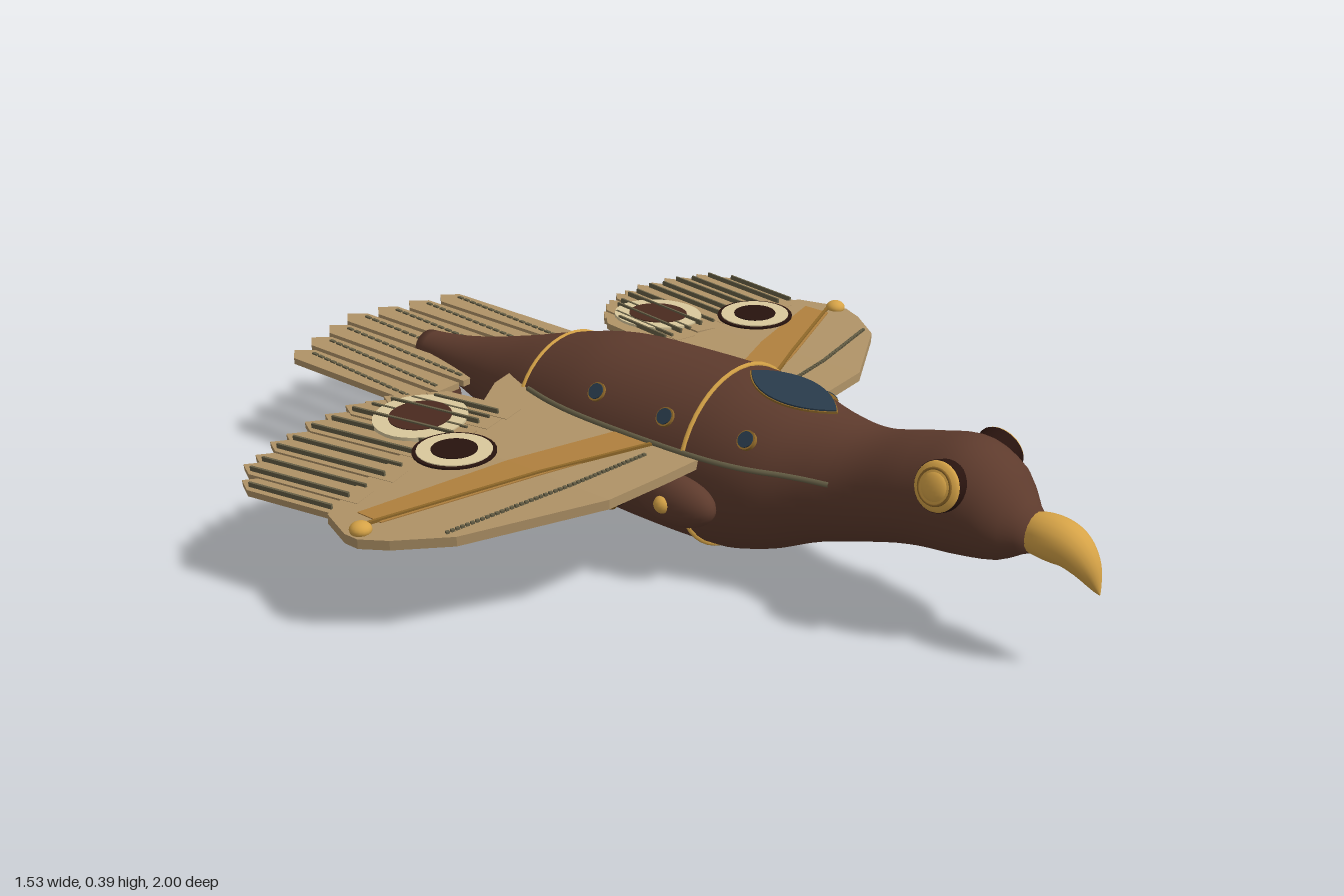
import * as THREE from 'three';
import { mergeGeometries, mergeVertices } from 'three/addons/utils/BufferGeometryUtils.js';

const material = (name, color) => new THREE.MeshStandardMaterial({ name, color });

// Body stations: z, top, bottom, half width
const STATIONS = [
  [0.865, 0.28, 0.21, 0.035], [0.8, 0.36, 0.176, 0.086], [0.72, 0.394, 0.162, 0.108], [0.62, 0.375, 0.15, 0.11],
  [0.5, 0.346, 0.116, 0.107], [0.4, 0.35, 0.083, 0.13], [0.3, 0.367, 0.038, 0.168], [0.2, 0.38, 0.01, 0.185],
  [0, 0.376, 0.007, 0.19], [-0.16, 0.366, 0.016, 0.182], [-0.3, 0.332, 0.046, 0.155], [-0.45, 0.286, 0.094, 0.105],
  [-0.6, 0.248, 0.137, 0.062], [-0.73, 0.231, 0.166, 0.038],
];

// Smoothly interpolated ellipse of the body at z
function section(z) {
  let i = 0;
  while (i < STATIONS.length - 2 && z < STATIONS[i + 1][0]) i++;
  const at = k => STATIONS[THREE.MathUtils.clamp(k, 0, STATIONS.length - 1)];
  const t = (STATIONS[i][0] - z) / (STATIONS[i][0] - STATIONS[i + 1][0]);
  const [top, bottom, rx] = [1, 2, 3].map(c => {
    const [a, b, d, e] = [at(i - 1)[c], at(i)[c], at(i + 1)[c], at(i + 2)[c]];
    return b + 0.5 * t * (d - a + t * (2 * a - 5 * b + 4 * d - e + t * (3 * (b - d) + e - a)));
  });
  return { cy: (top + bottom) / 2, ry: (top - bottom) / 2, rx };
}

// Point on the left flank at a height, and its outward roll angle
function flank(z, y, lift = 0) {
  const { cy, ry, rx } = section(z);
  const a = Math.asin((y - cy) / ry);
  return { p: new THREE.Vector3((rx + lift) * Math.cos(a), cy + (ry + lift) * Math.sin(a), z), a };
}

function wingY(x) {
  return x < 0.4 ? 0.246 - (x - 0.2) * 0.05 : 0.236 - (x - 0.4) * 0.108;
}

// Slab following the wing, from stations [x, front z, back z]
function slab(stations, thick, lift = 0) {
  const pos = [], idx = [];
  stations.forEach(([x, f, b]) => {
    const y = wingY(x) + lift, h = thick / 2;
    pos.push(x, y + h, f, x, y + h, b, x, y - h, b, x, y - h, f);
  });
  const n = stations.length - 1;
  for (let s = 0; s < n; s++) for (let i = 0; i < 4; i++) {
    const a = s * 4 + i, b = s * 4 + (i + 1) % 4;
    idx.push(a, a + 4, b + 4, a, b + 4, b);
  }
  idx.push(0, 1, 2, 0, 2, 3, n * 4, n * 4 + 2, n * 4 + 1, n * 4, n * 4 + 3, n * 4 + 2);
  let g = new THREE.BufferGeometry();
  g.setAttribute('position', new THREE.Float32BufferAttribute(pos, 3));
  g.setIndex(idx);
  g = g.toNonIndexed();
  g.computeVertexNormals();
  return g;
}

function mirrored(geo) {
  const g = geo.clone().scale(-1, 1, 1);
  const src = g.index ? Array.from(g.index.array) : Array.from({ length: g.attributes.position.count }, (_, i) => i);
  for (let i = 0; i < src.length; i += 3) [src[i + 1], src[i + 2]] = [src[i + 2], src[i + 1]];
  g.setIndex(src);
  return g;
}

// Flat pointed feather with its tip at the origin, running toward +z
function feather(width, length, thick) {
  const w = width / 2, s = new THREE.Shape();
  s.moveTo(-w, -length); s.lineTo(w, -length); s.lineTo(w, -0.035); s.lineTo(0, 0); s.lineTo(-w, -0.035);
  return new THREE.ExtrudeGeometry(s, { depth: thick, bevelEnabled: false }).translate(0, 0, -thick / 2).rotateX(-Math.PI / 2);
}

// Discs along each axis
const discX = (r, x0, x1) => new THREE.CylinderGeometry(r, r, x1 - x0, 28).rotateZ(-Math.PI / 2).translate((x0 + x1) / 2, 0, 0);
const discY = (r, y0, y1) => new THREE.CylinderGeometry(r, r, y1 - y0, 28).translate(0, (y0 + y1) / 2, 0);
const discZ = (r, z0, z1) => new THREE.CylinderGeometry(r, r, z1 - z0, 24).rotateX(Math.PI / 2).translate(0, 0, (z0 + z1) / 2);
const ringX = (r, t) => new THREE.TorusGeometry(r, t, 8, 28).rotateY(Math.PI / 2);

// Row of stitches between two points
function stitches(from, to, count) {
  const a = new THREE.Vector3(...from), b = new THREE.Vector3(...to), d = b.clone().sub(a);
  const yaw = Math.atan2(d.x, d.z), len = d.length() / count * 0.7;
  return mergeGeometries(Array.from({ length: count }, (_, i) => {
    const p = a.clone().lerp(b, (i + 0.5) / count);
    return new THREE.BoxGeometry(0.007, 0.007, len).rotateY(yaw).translate(p.x, p.y, p.z);
  }));
}

export function createModel() {
  const model = new THREE.Group();
  model.name = 'mechanicalBird';
  const brown = material('brown hull', 0x5e3b2d), tan = material('tan feather', 0xb09367);
  const brass = material('brass', 0xd6a347), blue = material('blue glass', 0x283a4a);
  const cream = material('cream', 0xd9c89c), dark = material('dark maroon', 0x28130e);
  const ochre = material('ochre stripe', 0xb0803e), olive = material('olive stitching', 0x655e45);
  const bronze = material('bronze trim', 0x8f6829), maroon = material('worn maroon', 0x4a2a1f);

  const add = (name, geo, mat) => {
    const mesh = new THREE.Mesh(geo, mat);
    mesh.name = name;
    model.add(mesh);
  };
  const pair = (name, geo, mat) => {
    add(name + 'Left', geo, mat);
    add(name + 'Right', mirrored(geo), mat);
  };

  // Hull
  let hull = new THREE.CylinderGeometry(1, 1, 1, 40, 70).rotateX(Math.PI / 2);
  const v = hull.attributes.position;
  for (let i = 0; i < v.count; i++) {
    const z = -0.73 + (v.getZ(i) + 0.5) * 1.595, { cy, ry, rx } = section(z);
    v.setXYZ(i, v.getX(i) * rx, cy + v.getY(i) * ry, z);
  }
  hull.deleteAttribute('uv'); hull.deleteAttribute('normal');
  hull = mergeVertices(hull);
  hull.computeVertexNormals();
  add('hull', hull, brown);

  // Hull bands and side seams
  for (const z of [0.165, -0.3]) {
    const { cy, ry, rx } = section(z);
    add('hullBand', new THREE.TorusGeometry(1, 0.036, 6, 48).scale(rx, ry, 0.13).translate(0, cy, z), brass);
  }
  const seam = Array.from({ length: 16 }, (_, i) => flank(0.47 - i * 0.05, 0.26, 0.002).p);
  pair('sideSeam', new THREE.TubeGeometry(new THREE.CatmullRomCurve3(seam), 48, 0.006, 6), olive);

  // Hooked beak, fullest a third of the way along
  const beakPath = new THREE.CatmullRomCurve3([[0.245, 0.84], [0.248, 0.885], [0.242, 0.93], [0.217, 0.964], [0.166, 0.999]]
    .map(([y, z]) => new THREE.Vector3(0, y, z)));
  const beak = new THREE.TubeGeometry(beakPath, 24, 1, 18);
  const bp = beak.attributes.position;
  for (let i = 0; i < bp.count; i++) {
    const t = Math.floor(i / 19) / 24, c = beakPath.getPointAt(t);
    const r = t < 0.3 ? 0.036 + 0.008 * Math.sin(t / 0.3 * Math.PI / 2) : 0.043 * Math.pow(Math.cos((t - 0.3) / 0.7 * Math.PI / 2), 0.9) + 0.001;
    bp.setXYZ(i, bp.getX(i) * r, c.y + (bp.getY(i) - c.y) * r, c.z + (bp.getZ(i) - c.z) * r);
  }
  beak.computeVertexNormals();
  add('beak', beak, brass);

  // Goggle eyes: dark mount behind a brass face
  const eye = flank(0.71, 0.33), placeEye = g => g.rotateZ(eye.a * 0.6).translate(eye.p.x, eye.p.y, eye.p.z);
  pair('eyeMount', placeEye(discX(0.049, -0.02, 0.01)), dark);
  pair('eyeFace', placeEye(new THREE.SphereGeometry(0.048, 28, 16).scale(0.3, 1, 1).translate(0.01, 0, 0)), brass);
  pair('eyeRing', placeEye(ringX(0.034, 0.003).translate(0.019, 0, 0)), bronze);
  pair('eyeLens', placeEye(new THREE.SphereGeometry(0.03, 20, 12).scale(0.4, 1, 1).translate(0.017, 0, 0)), brass);

  // Canopy on the back
  const leaf = (k, h) => {
    const s = new THREE.Shape();
    s.moveTo(0, -0.105 * k);
    s.bezierCurveTo(0.08 * k, -0.04, 0.075 * k, 0.05, 0, 0.105 * k);
    s.bezierCurveTo(-0.075 * k, 0.05, -0.08 * k, -0.04, 0, -0.105 * k);
    return new THREE.ExtrudeGeometry(s, { depth: h, bevelEnabled: false, curveSegments: 16 })
      .rotateX(-Math.PI / 2).rotateX(0.13).translate(0, 0.367, 0.3);
  };
  add('canopyFrame', leaf(1.04, 0.004), bronze);
  add('canopyGlass', leaf(1, 0.007), blue);

  // Portholes
  for (const z of [0.29, 0.1, -0.085]) {
    const { p, a } = flank(z, 0.308), place = g => g.rotateZ(a).translate(p.x, p.y, p.z);
    pair('portholeRim', place(discX(0.02, -0.01, 0.005)), bronze);
    pair('portholeGlass', place(discX(0.0165, 0, 0.008)), blue);
  }

  // Flank pods with sideways lamps
  for (const [z, len, lampZ] of [[0.165, 0.098, 0.065], [-0.065, 0.06, -0.125]]) {
    pair('pod', new THREE.SphereGeometry(1, 24, 16).scale(0.045, 0.053, len).translate(0.197, 0.168, z), brown);
    pair('podStud', new THREE.SphereGeometry(0.019, 14, 10).translate(0.234, 0.171, z), brass);
    const place = g => g.translate(0, 0.173, lampZ);
    pair('lampBarrel', place(discX(0.017, 0.16, 0.27)), brown);
    pair('lampHousing', place(discX(0.026, 0.258, 0.282)), dark);
    pair('lampRim', place(ringX(0.022, 0.005).translate(0.281, 0, 0)), bronze);
    pair('lampGlass', place(discX(0.019, 0.275, 0.286)), blue);
  }

  // Flank roundels
  const fr = flank(-0.07, 0.14, 0.003), placeFr = g => g.rotateZ(fr.a).translate(fr.p.x, fr.p.y, fr.p.z);
  pair('flankRoundel', placeFr(discX(0.06, -0.012, 0.002)), cream);
  pair('flankRoundelCentre', placeFr(discX(0.036, 0, 0.004)), maroon);

  // Wings with stripe, spar and stitching
  pair('wing', slab([[0.1, 0.21, -0.37], [0.16, 0.206, -0.36], [0.26, 0.195, -0.305], [0.4, 0.175, -0.3],
    [0.655, 0.025, -0.27], [0.735, -0.07, -0.24], [0.765, -0.125, -0.16]], 0.02), tan);
  pair('wingStripe', slab([[0.17, 0.09, 0.0], [0.4, 0.005, -0.09], [0.7, -0.13, -0.195]], 0.024), ochre);
  pair('wingSpar', slab([[0.17, 0.1, 0.093], [0.4, 0.0, -0.007], [0.72, -0.145, -0.152]], 0.008, 0.012), bronze);
  pair('leadingStitch', mergeGeometries([
    stitches([0.22, wingY(0.22) + 0.011, 0.11], [0.4, 0.247, 0.08], 18),
    stitches([0.4, 0.247, 0.08], [0.66, wingY(0.66) + 0.011, 0.0], 26)]), olive);
  pair('wingTipKnob', new THREE.SphereGeometry(0.022, 16, 12).scale(1, 0.7, 1).translate(0.742, 0.214, -0.14), brass);

  // Trailing wing feathers, each [tip x, tip z]
  const tips = [[0.738, -0.485], [0.7, -0.525], [0.657, -0.54], [0.61, -0.55], [0.565, -0.553], [0.515, -0.553],
    [0.465, -0.548], [0.42, -0.535], [0.38, -0.52], [0.345, -0.5], [0.31, -0.475], [0.28, -0.44]];
  tips.forEach(([x, z], i) => {
    const place = g => g.rotateY(-0.16).rotateZ(x > 0.4 ? -0.1 : -0.05).translate(x, wingY(x) + (i % 2 ? 0.004 : 0), z);
    const len = -0.22 - z;
    pair('wingFeather', place(feather(0.052, len, 0.014)), tan);
    pair('wingQuill', place(new THREE.BoxGeometry(0.005, 0.012, len - 0.06).translate(0.012, 0.011, len / 2)), olive);
  });

  // Thin raised wing roundels
  const raise = g => g.translate(0.47, 0.268, -0.165);
  pair('roundelRim', raise(discY(0.083, 0, 0.004)), dark);
  pair('roundelRing', raise(discY(0.075, 0.003, 0.006)), cream);
  pair('roundelCentre', raise(discY(0.046, 0.005, 0.008)), dark);

  // Roundels set among the feathers, crossed by the quills
  const sink = g => g.rotateZ(-0.06).translate(0.37, wingY(0.37), -0.365);
  pair('featherRoundel', sink(discY(0.098, 0.006, 0.0155)), cream);
  pair('featherRoundelCentre', sink(discY(0.065, -0.013, 0.0175)), maroon);

  // Tail fan
  for (let i = -3; i <= 3; i++) {
    const x = i * 0.0755, z = -[0.998, 0.975, 0.95, 0.922][Math.abs(i)], len = -0.51 - z;
    add('tailFeather', feather(0.062, len, 0.014).translate(x, 0.196, z), tan);
    add('tailQuill', stitches([x - 0.014, 0.203, -0.53], [x + 0.014, 0.203, z + 0.045], 16), olive);
  }

  // Exhaust tubes under the tail
  const placeTube = g => g.translate(0.115, 0.155, 0);
  pair('exhaust', placeTube(discZ(0.035, -0.71, -0.545)), brown);
  pair('exhaustBand', placeTube(discZ(0.038, -0.7, -0.675)), brass);
  pair('exhaustGlass', placeTube(discZ(0.026, -0.715, -0.7)), blue);

  return model;
}
